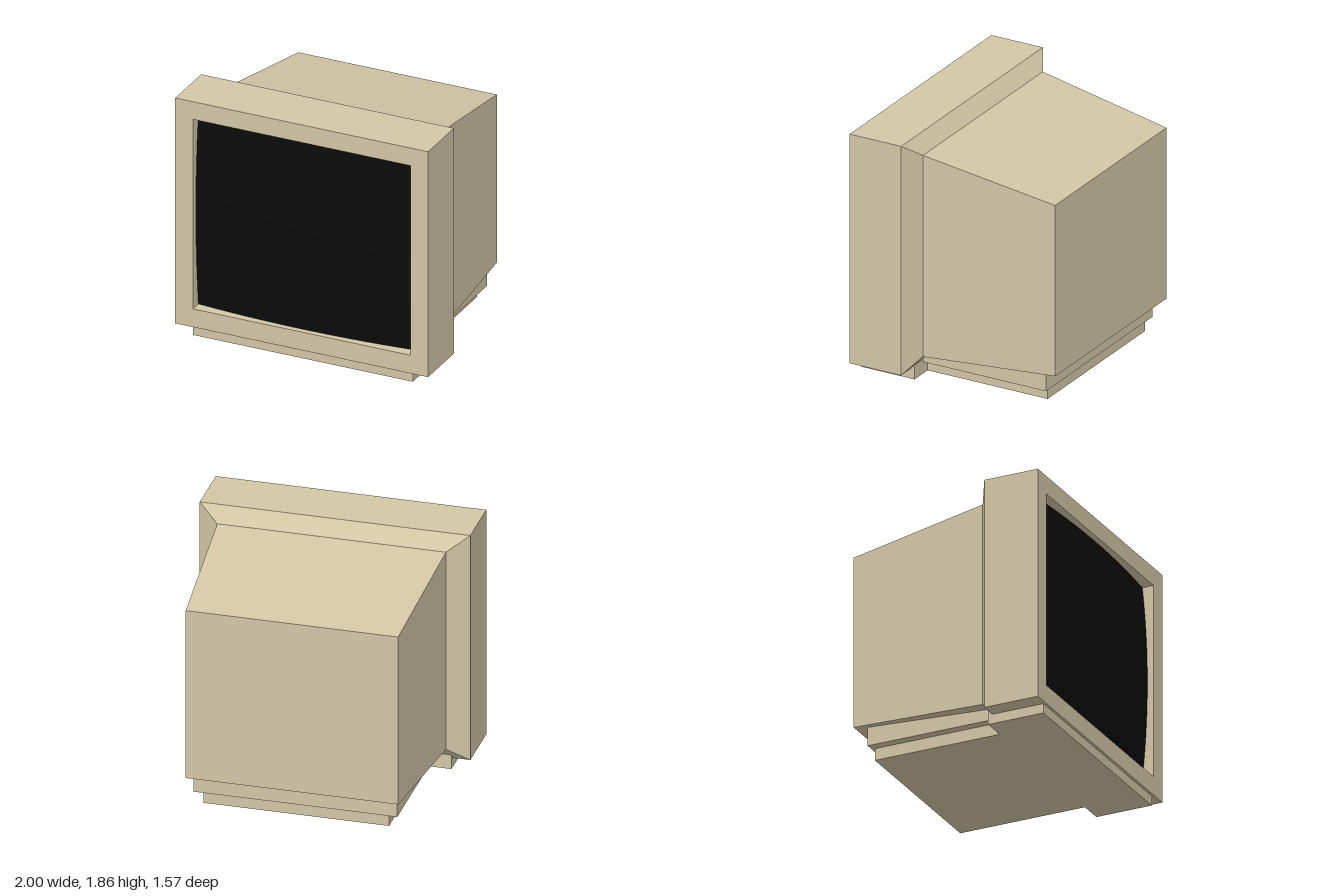
import * as THREE from 'three';

const shell = new THREE.MeshStandardMaterial({ color: 0xd2c6a6, flatShading: true });
const glass = new THREE.MeshStandardMaterial({ color: 0x0b0b0b });

function part(name, geometry, material = shell) {
  const mesh = new THREE.Mesh(geometry, material);
  mesh.name = name;
  return mesh;
}

// Rectangular path, anticlockwise
function rectPoints(hw, y0, y1) {
  return [[-hw, y0], [hw, y0], [hw, y1], [-hw, y1]].map(([x, y]) => new THREE.Vector2(x, y));
}

// Skin rectangular sections [z, halfWidth, bottom, top], front to back, with a rear cap
function loftRects(sections) {
  const pos = [];
  const rings = sections.map(([z, hw, y0, y1]) =>
    rectPoints(hw, y0, y1).map((p) => [p.x, p.y, z]));
  const tri = (a, b, c) => pos.push(...a, ...b, ...c);
  for (let i = 0; i < rings.length - 1; i++) {
    for (let k = 0; k < 4; k++) {
      const n = (k + 1) % 4;
      const a = rings[i][k], b = rings[i][n], c = rings[i + 1][n], d = rings[i + 1][k];
      tri(a, d, b);
      tri(b, d, c);
    }
  }
  const last = rings[rings.length - 1];
  tri(last[0], last[3], last[2]);
  tri(last[0], last[2], last[1]);
  const g = new THREE.BufferGeometry();
  g.setAttribute('position', new THREE.Float32BufferAttribute(pos, 3));
  g.computeVertexNormals();
  return g;
}

// Box given by half width and its y and z ranges
function block(hw, y0, y1, z0, z1) {
  return new THREE.BoxGeometry(hw * 2, y1 - y0, z1 - z0)
    .translate(0, (y0 + y1) / 2, (z0 + z1) / 2);
}

export function createModel() {
  const model = new THREE.Group();
  model.name = 'monitor';

  // Front frame with the screen opening
  const frame = new THREE.Shape(rectPoints(1, 0.073, 1.86));
  frame.holes.push(new THREE.Path(rectPoints(0.86, 0.217, 1.72).reverse()));
  const frameGeo = new THREE.ExtrudeGeometry(frame, { depth: 0.425, bevelEnabled: false });
  model.add(part('frontFrame', frameGeo.translate(0, 0, 0.36)));

  // Bulging screen, set back furthest at the corners
  const screen = new THREE.PlaneGeometry(1.72, 1.503, 24, 24);
  const p = screen.attributes.position;
  for (let i = 0; i < p.count; i++) {
    const u = p.getX(i) / 0.86, v = p.getY(i) / 0.7515;
    p.setZ(i, 0.78 - 0.045 * u * u - 0.04 * v * v);
  }
  screen.translate(0, 0.9685, 0);
  screen.computeVertexNormals();
  model.add(part('screen', screen, glass));

  // Rear housing: a short step in behind the frame, then a long taper
  model.add(part('rearHousing', loftRects([
    [0.36, 1, 0.073, 1.86],
    [0.27, 0.845, 0.18, 1.75],
    [-0.785, 0.785, 0.242, 1.575],
  ])));

  // Stepped base
  model.add(part('baseUpperStep', block(0.752, 0.092, 0.25, -0.69, 0.34)));
  model.add(part('baseLowerStep', block(0.685, 0, 0.1, -0.665, 0.33)));
  model.add(part('baseFront', block(0.87, 0, 0.112, 0.325, 0.765)));
  return model;
}
